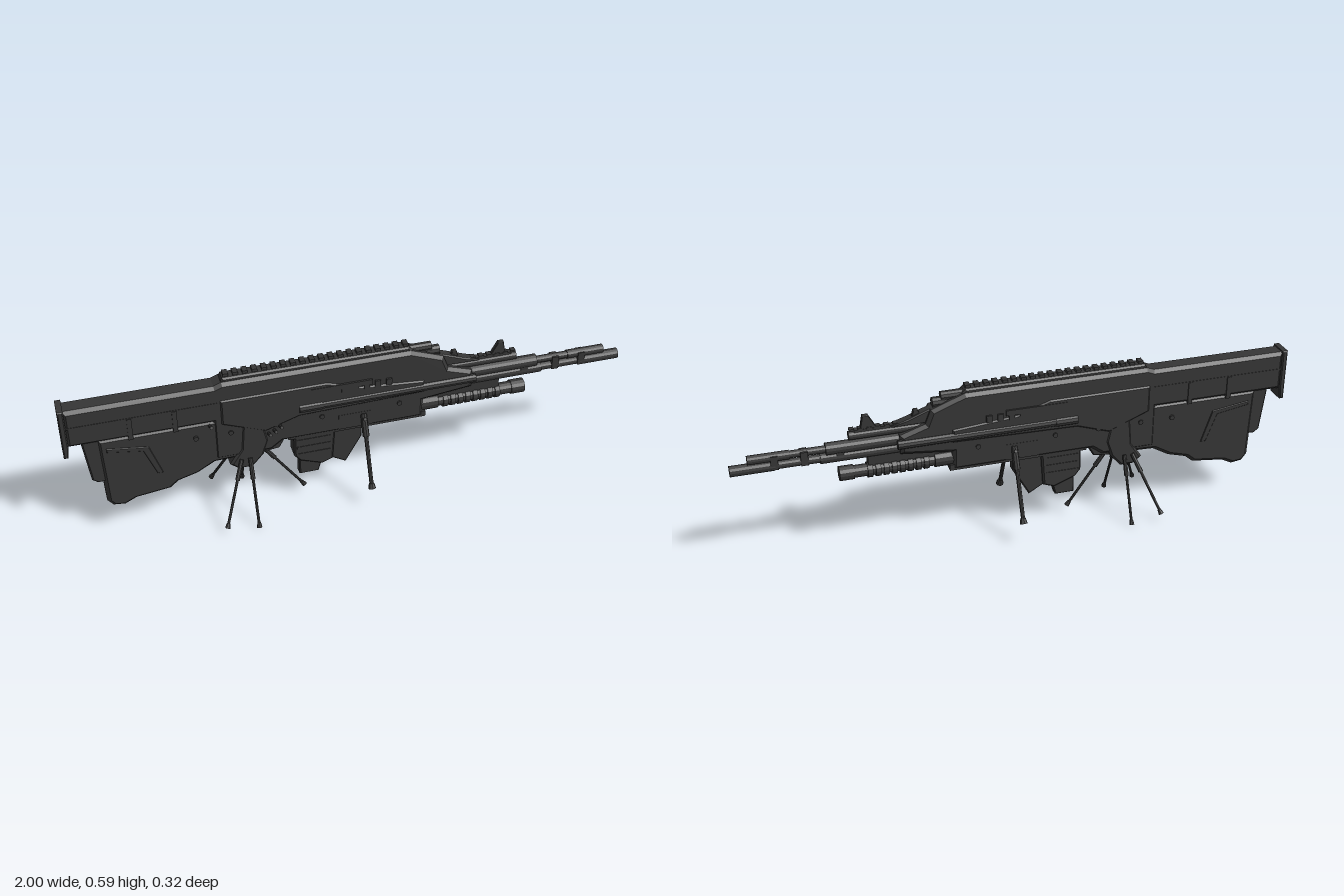
import * as THREE from 'three';

export function createModel() {
  const model = new THREE.Group();
  const gunmetal = new THREE.MeshStandardMaterial({ color: 0x363636, flatShading: true });

  const add = (name, geo, x = 0, y = 0, z = 0) => {
    const m = new THREE.Mesh(geo, gunmetal);
    m.name = name;
    m.position.set(x, y, z);
    model.add(m);
    return m;
  };
  // side outline extruded symmetrically about z, with chamfered edges
  const slab = (name, pts, half, bevel = 0.006, z = 0) => {
    const shape = new THREE.Shape(pts.map(p => new THREE.Vector2(p[0], p[1])));
    const geo = new THREE.ExtrudeGeometry(shape, {
      depth: 2 * (half - bevel), bevelEnabled: bevel > 0, bevelThickness: bevel,
      bevelSize: bevel, bevelOffset: -bevel, bevelSegments: 1
    });
    geo.translate(0, 0, -(half - bevel));
    return add(name, geo, 0, 0, z);
  };
  const box = (name, x0, x1, y0, y1, z0, z1) =>
    add(name, new THREE.BoxGeometry(x1 - x0, y1 - y0, z1 - z0), (x0 + x1) / 2, (y0 + y1) / 2, (z0 + z1) / 2);
  const tube = (name, x0, x1, y, z, r, sides = 14) => {
    const geo = new THREE.CylinderGeometry(r, r, x1 - x0, sides);
    geo.rotateZ(-Math.PI / 2);
    return add(name, geo, (x0 + x1) / 2, y, z);
  };
  const rod = (name, a, b, r0, r1 = r0, sides = 8) => {
    const p = new THREE.Vector3(...a), q = new THREE.Vector3(...b), d = q.clone().sub(p);
    const m = add(name, new THREE.CylinderGeometry(r1, r0, d.length(), sides));
    m.position.copy(p).add(q).multiplyScalar(0.5);
    m.quaternion.setFromUnitVectors(new THREE.Vector3(0, 1, 0), d.normalize());
    return m;
  };
  const lerp = (a, b, t) => a.map((v, i) => v + (b[i] - v) * t);
  const leg = (name, a, b, r) => {
    rod(name + 'Socket', a, lerp(a, b, 0.3), r * 1.5, r * 1.7);
    rod(name + 'Shaft', lerp(a, b, 0.28), b, r);
    rod(name + 'Foot', lerp(a, b, 0.93), b, r * 1.3, r * 1.9);
  };

  // shoulder stock
  slab('buttPad', [[-1, 0.37], [-0.985, 0.37], [-0.98, 0.41], [-0.98, 0.56], [-1, 0.56]], 0.039, 0.004);
  slab('stockUpper', [[-0.985, 0.41], [-0.4, 0.41], [-0.4, 0.555], [-0.985, 0.555]], 0.037, 0.012);
  slab('stockHeel', [[-0.94, 0.42], [-0.84, 0.42], [-0.84, 0.24], [-0.9, 0.235], [-0.92, 0.25]], 0.027);
  slab('stockLower', [[-0.89, 0.42], [-0.36, 0.42], [-0.36, 0.24], [-0.5, 0.235], [-0.56, 0.2],
    [-0.63, 0.18], [-0.66, 0.155], [-0.78, 0.14], [-0.82, 0.12], [-0.86, 0.125], [-0.88, 0.15]], 0.034, 0.014);
  box('stockSeam', -0.98, -0.48, 0.487, 0.493, -0.0385, 0.0385);
  for (const x of [-0.775, -0.625]) {
    box('stockStrap', x - 0.008, x + 0.008, 0.405, 0.49, -0.041, 0.041);
  }
  slab('stockRib', [[-0.86, 0.38], [-0.72, 0.36], [-0.68, 0.24], [-0.7, 0.24], [-0.74, 0.345], [-0.86, 0.365]], 0.037, 0.002);

  // receiver
  slab('receiver', [[-0.5, 0.55], [-0.46, 0.565], [0.2, 0.565], [0.32, 0.52], [0.34, 0.47], [0.43, 0.44],
    [0.43, 0.37], [0.25, 0.35], [0.25, 0.28], [-0.26, 0.28], [-0.3, 0.25], [-0.5, 0.25]], 0.037, 0.012);
  slab('receiverCheek', [[-0.47, 0.5], [-0.1, 0.5], [0.02, 0.46], [0.25, 0.44], [0.25, 0.39], [-0.2, 0.38],
    [-0.32, 0.34], [-0.47, 0.4]], 0.042, 0.006);
  box('lowerRail', -0.24, 0.26, 0.278, 0.3, -0.032, 0.032);
  box('pivotBlock', -0.06, 0.06, 0.29, 0.35, -0.038, 0.038);
  for (const s of [-1, 1]) {
    tube('sideTube', -0.17, 0.44, 0.41, s * 0.034, 0.016, 10);
    tube('sideTubeCap', -0.2, -0.12, 0.41, s * 0.034, 0.018, 10);
    box('ejectionCover', -0.16, 0.06, 0.465, 0.485, s * 0.04 - 0.004, s * 0.04 + 0.004);
    for (let i = 0; i < 6; i++) {
      box('ventRib', -0.09 + i * 0.04, -0.07 + i * 0.04, 0.45, 0.475, s * 0.04 - 0.004, s * 0.04 + 0.004);
    }
    for (const x of [-0.56, -0.44, -0.28, -0.12, 0.16]) {
      const pin = add('pin', new THREE.CylinderGeometry(0.009, 0.009, 0.008, 8), x, 0.36, s * 0.038);
      pin.rotation.x = Math.PI / 2;
    }
  }

  // top sight rail
  slab('railBase', [[-0.475, 0.53], [-0.455, 0.578], [0.195, 0.578], [0.24, 0.53]], 0.024, 0.006);
  for (let i = 0; i < 20; i++) {
    box('railTooth', -0.45 + i * 0.033, -0.432 + i * 0.033, 0.575, 0.588, -0.014, 0.014);
  }
  tube('frontKnob', 0.2, 0.28, 0.555, 0, 0.017, 10);
  tube('frontKnob', 0.26, 0.31, 0.535, 0, 0.019, 10);
  slab('frontStep', [[0.26, 0.47], [0.26, 0.535], [0.32, 0.52], [0.4, 0.49], [0.46, 0.47]], 0.018, 0.004);

  // upper gas tube with post sights
  tube('gasTube', 0.3, 0.6, 0.455, 0, 0.016);
  box('gasTubeRail', 0.34, 0.58, 0.465, 0.476, -0.01, 0.01);
  for (let i = 0; i < 6; i++) box('gasRailTooth', 0.43 + i * 0.03, 0.447 + i * 0.03, 0.474, 0.481, -0.01, 0.01);
  slab('rearPost', [[0.34, 0.47], [0.39, 0.47], [0.375, 0.52], [0.36, 0.52]], 0.008, 0.002);
  slab('frontPost', [[0.5, 0.47], [0.56, 0.47], [0.55, 0.525], [0.53, 0.525]], 0.008, 0.002);

  // barrels
  tube('mainBarrel', 0.24, 1, 0.385, 0, 0.015);
  tube('muzzle', 0.85, 1, 0.385, 0, 0.019);
  tube('barrelSleeve', 0.4, 0.7, 0.385, 0, 0.02);
  tube('upperBarrel', 0.4, 0.94, 0.417, 0, 0.013);
  tube('upperMuzzle', 0.8, 0.94, 0.417, 0, 0.016);
  tube('upperSleeve', 0.4, 0.68, 0.417, 0, 0.022);
  for (const x of [0.62, 0.74, 0.84]) box('barrelClamp', x, x + 0.025, 0.375, 0.425, -0.018, 0.018);

  // under-barrel launcher
  tube('launcherTube', 0.2, 0.63, 0.315, 0, 0.022);
  tube('launcherSleeve', 0.22, 0.31, 0.318, 0, 0.03);
  for (let i = 0; i < 8; i++) tube('launcherRing', 0.33 + i * 0.028, 0.348 + i * 0.028, 0.315, 0, 0.028);
  tube('launcherMuzzle', 0.59, 0.64, 0.315, 0, 0.026);
  box('launcherBracket', 0.26, 0.54, 0.335, 0.375, -0.014, 0.014);

  // magazine and its front wedge
  slab('magazine', [[-0.22, 0.3], [-0.22, 0.2], [-0.2, 0.175], [-0.12, 0.145], [-0.08, 0.16], [-0.07, 0.3]], 0.032, 0.006);
  slab('magazineFoot', [[-0.2, 0.18], [-0.2, 0.105], [-0.13, 0.105], [-0.12, 0.14], [-0.1, 0.165]], 0.018, 0.004);
  slab('magazineWedge', [[-0.1, 0.3], [-0.1, 0.165], [-0.03, 0.125], [0.03, 0.23], [0.03, 0.3]], 0.02, 0.005);
  for (const y of [0.2, 0.23, 0.26]) box('magazineRib', -0.21, -0.09, y, y + 0.01, -0.034, 0.034);

  // trigger grip
  slab('grip', [[-0.4, 0.39], [-0.33, 0.39], [-0.31, 0.3], [-0.33, 0.24], [-0.37, 0.195], [-0.42, 0.195],
    [-0.45, 0.22], [-0.41, 0.28]], 0.041, 0.008);
  slab('triggerBlock', [[-0.34, 0.31], [-0.24, 0.3], [-0.27, 0.245], [-0.34, 0.235]], 0.024, 0.004);

  // slanted control levers on the front side
  rod('chargingLever', [-0.51, 0.4, 0.03], [-0.51, 0.422, 0.075], 0.006);
  for (const [x, y] of [[-0.31, 0.335], [-0.29, 0.345], [-0.27, 0.36]]) {
    rod('controlLever', [x, y - 0.01, 0.03], [x, y + 0.01, 0.073], 0.006);
  }

  // support legs
  for (const s of [-1, 1]) {
    leg('frontLeg', [0.03, 0.34, s * 0.035], [0.03, 0.088, s * 0.146], 0.0075);
    rod('frontLegLatch', [0.03, 0.32, s * 0.04], [0.03, 0.33, s * 0.058], 0.006);
    leg('rearLeg', [-0.41, 0.24, s * 0.044], [-0.493, 0.03, s * 0.144], 0.005);
    leg('middleLeg', [-0.38, 0.24, s * 0.044], [-0.38, 0.005, s * 0.144], 0.005);
  }
  leg('centreLeg', [-0.33, 0.25, 0], [-0.18, 0.04, 0], 0.005);

  // settle on the ground and centre
  const bounds = new THREE.Box3().setFromObject(model);
  const c = bounds.getCenter(new THREE.Vector3());
  for (const m of model.children) m.position.sub(new THREE.Vector3(c.x, bounds.min.y, c.z));
  return model;
}
